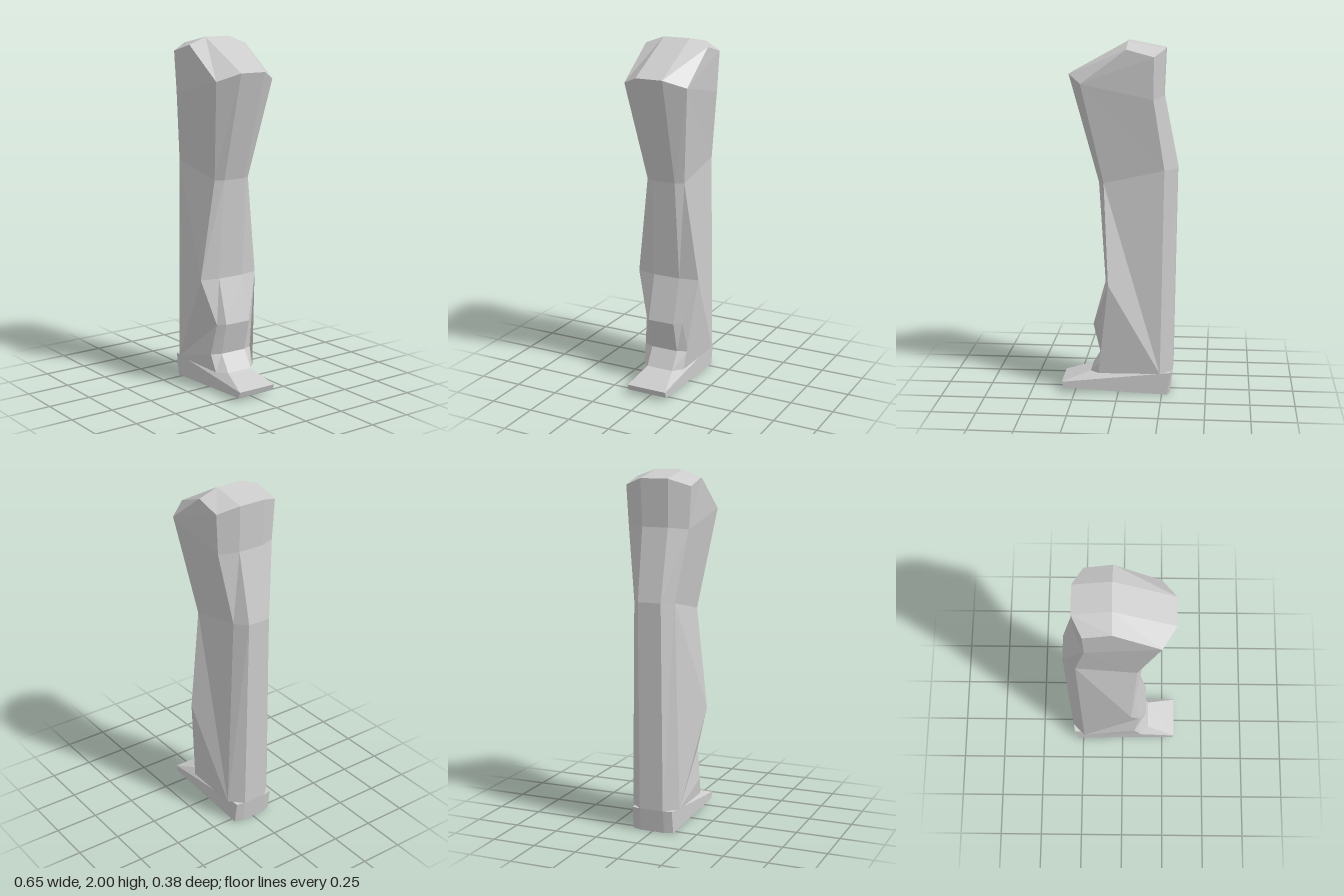
import * as THREE from 'three';

// Collects flat faces of a shape that is symmetric about z = 0
class MirrorMesh {
  constructor() { this.pos = []; }
  polygon(pts) {
    for (let i = 1; i < pts.length - 1; i++) this.pos.push(...pts[0], ...pts[i], ...pts[i + 1]);
  }
  // a face and its mirror image
  face(...pts) {
    this.polygon(pts);
    this.polygon(pts.map(flip).reverse());
  }
  // a quad bridging both halves between points a and b
  span(a, b) { this.polygon([a, flip(a), flip(b), b]); }
  build(name) {
    const geo = new THREE.BufferGeometry();
    geo.setAttribute('position', new THREE.Float32BufferAttribute(this.pos, 3));
    geo.computeVertexNormals();
    const mesh = new THREE.Mesh(geo, new THREE.MeshStandardMaterial({ color: 0xcccccc, flatShading: true }));
    mesh.name = name;
    return mesh;
  }
}
const flip = ([x, y, z]) => [x, y, -z];

function createLeg() {
  const m = new MirrorMesh();
  // side outline: [side x, y, z, then centre strip x, y, z], running from the top down the back and up the front
  const outline = [
    [-0.05, 1.96, 0.19, -0.053, 2.0, 0.08],
    [-0.20, 1.92, 0.19, -0.257, 1.96, 0.08],
    [-0.197, 1.69, 0.177, -0.247, 1.70, 0.075],
    [-0.257, 1.295, 0.12, -0.327, 1.30, 0.067],
    [-0.24, 0.13, 0.142, -0.31, 0.13, 0.07],
    [0.11, 0.122, 0.13, 0.16, 0.12, 0.08],
    [0.073, 0.22, 0.138, 0.10, 0.22, 0.08],
    [0.10, 0.395, 0.115, 0.143, 0.40, 0.08],
    [0.05, 0.655, 0.19, 0.073, 0.655, 0.08],
    [0.08, 1.22, 0.115, 0.11, 1.22, 0.07],
    [0.20, 1.775, 0.19, 0.275, 1.82, 0.08],
  ];
  const side = outline.map(p => p.slice(0, 3));
  const strip = outline.map(p => p.slice(3));
  // side panels: hip, thigh, shin, ankle
  for (const panel of [[0, 1, 2, 10], [2, 3, 9, 10], [3, 4, 8, 9], [4, 5, 6, 7, 8]])
    m.face(...panel.map(i => side[i]));
  // bevels and centre strip all the way round
  for (let i = 0; i < outline.length; i++) {
    const j = (i + 1) % outline.length;
    m.face(side[i], strip[i], strip[j], side[j]);
    m.span(strip[i], strip[j]);
  }
  return m.build('leg');
}

function createFoot() {
  const m = new MirrorMesh();
  const toeTop = [0.325, 0.06, 0.12], toeLow = [0.313, 0.025, 0.12];
  const heelTop = [-0.30, 0.13, 0.12], heelLow = [-0.28, 0, 0.12];
  const backTop = [-0.31, 0.13, 0.07], backLow = [-0.295, 0, 0.07];
  const instep = [0.16, 0.12, 0.08];
  // sides, heel and toe
  m.face(toeTop, heelTop, heelLow, toeLow);
  m.face(heelTop, backTop, backLow, heelLow);
  m.span(backTop, backLow);
  m.span(toeLow, toeTop);
  // top
  m.span(toeTop, instep);
  m.face(toeTop, instep, heelTop);
  m.face(instep, backTop, heelTop);
  m.span(instep, backTop);
  // sole rim with a recess
  const rimBack = [-0.24, 0.002, 0.08], rimFront = [0.22, 0.021, 0.08];
  const roofBack = [-0.24, 0.09, 0.08], roofFront = [0.22, 0.06, 0.08];
  m.face(heelLow, rimBack, rimFront, toeLow);
  m.face(heelLow, backLow, rimBack);
  m.span(backLow, rimBack);
  m.span(rimFront, toeLow);
  m.face(rimBack, roofBack, roofFront, rimFront);
  m.span(rimBack, roofBack);
  m.span(roofFront, rimFront);
  m.span(roofBack, roofFront);
  return m.build('foot');
}

export function createModel() {
  const model = new THREE.Group();
  model.name = 'lowerLeg';
  model.add(createLeg(), createFoot());
  return model;
}
